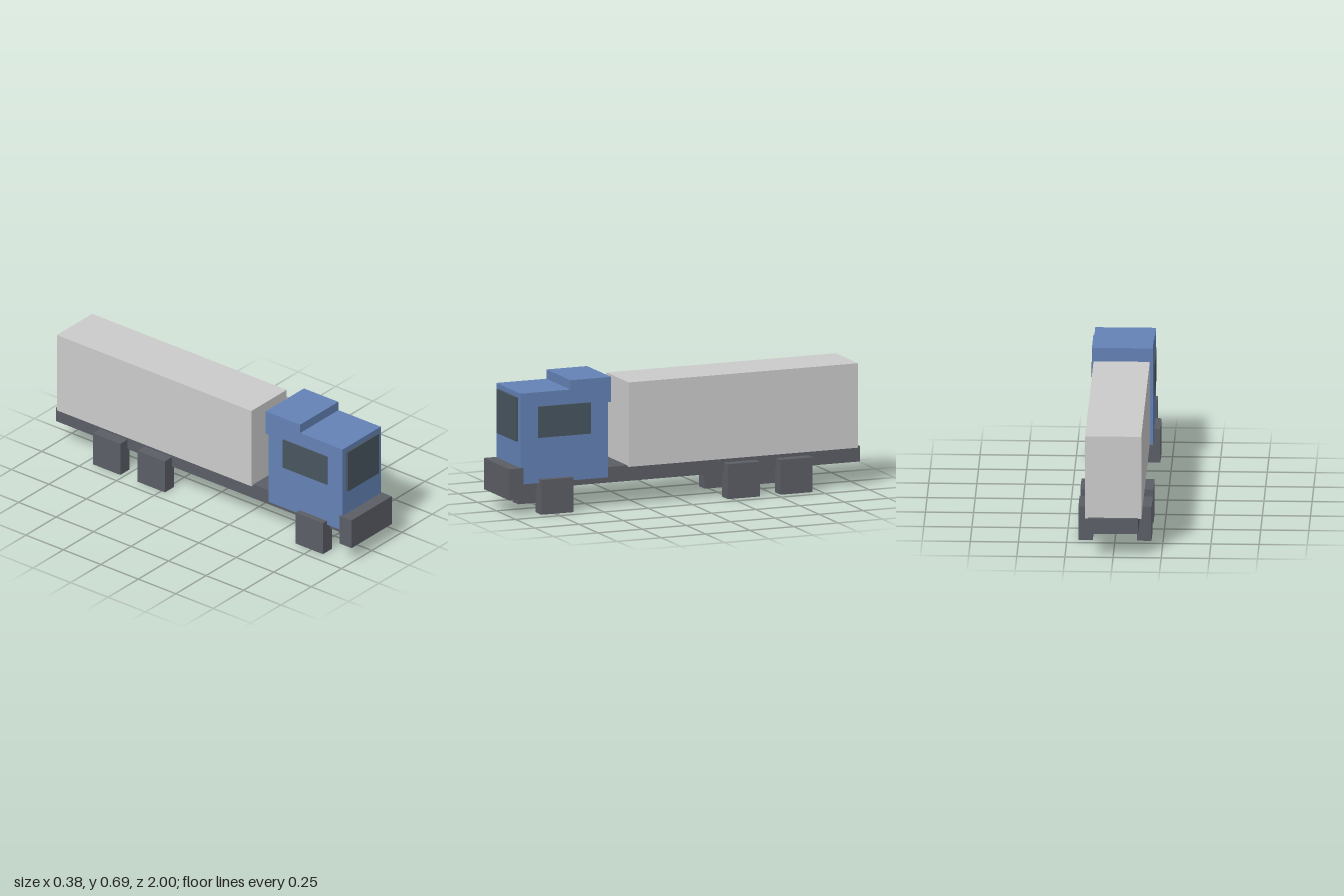
import * as THREE from 'three';

const material = (color) => new THREE.MeshStandardMaterial({ color, flatShading: true });

export function createModel() {
  const truck = new THREE.Group();
  truck.name = 'truck';
  const dark = material(0x5c5e66);
  const glass = material(0x48555f);
  const paint = material(0x6482b6);
  const grey = material(0xcccccc);

  // Box given by its [min, max] extent on each axis
  const box = (name, mat, [x0, x1], [y0, y1], [z0, z1]) => {
    const mesh = new THREE.Mesh(new THREE.BoxGeometry(x1 - x0, y1 - y0, z1 - z0), mat);
    mesh.position.set((x0 + x1) / 2, (y0 + y1) / 2, (z0 + z1) / 2);
    mesh.name = name;
    truck.add(mesh);
  };

  // Frame, cargo body and bumper
  box('chassis', dark, [-0.13, 0.13], [0.128, 0.21], [-1, 0.905]);
  box('cargoBox', grey, [-0.146, 0.146], [0.205, 0.652], [-0.982, 0.315]);
  box('bumper', dark, [-0.166, 0.166], [0.085, 0.25], [0.918, 1]);

  // Cab: side profile (z, y) with raised roof fairing, extruded across the width
  const halfWidth = 0.158;
  const profile = new THREE.Shape([
    [0.438, 0.162], [0.933, 0.162], [0.933, 0.643], [0.65, 0.643],
    [0.65, 0.692], [0.42, 0.692], [0.42, 0.56], [0.438, 0.56],
  ].map(([z, y]) => new THREE.Vector2(z, y)));
  const cabGeometry = new THREE.ExtrudeGeometry(profile, { depth: 2 * halfWidth, bevelEnabled: false });
  cabGeometry.translate(0, 0, -halfWidth).rotateY(-Math.PI / 2);
  const cab = new THREE.Mesh(cabGeometry, paint);
  cab.name = 'cab';
  truck.add(cab);

  // Windows
  box('windshield', glass, [-0.129, 0.129], [0.385, 0.617], [0.925, 0.945]);
  for (const [side, x] of [['left', [0.15, 0.164]], ['right', [-0.164, -0.15]]]) {
    box(`${side}Window`, glass, x, [0.402, 0.567], [0.538, 0.834]);
  }

  // Block wheels: one front axle, two rear axles
  const axles = { front: 0.737, middle: -0.317, rear: -0.615 };
  for (const [axle, z] of Object.entries(axles)) {
    for (const [side, x] of [['Left', [0.115, 0.19]], ['Right', [-0.19, -0.115]]]) {
      box(`${axle}${side}Wheel`, dark, x, [0, 0.184], [z - 0.091, z + 0.091]);
    }
  }
  return truck;
}
